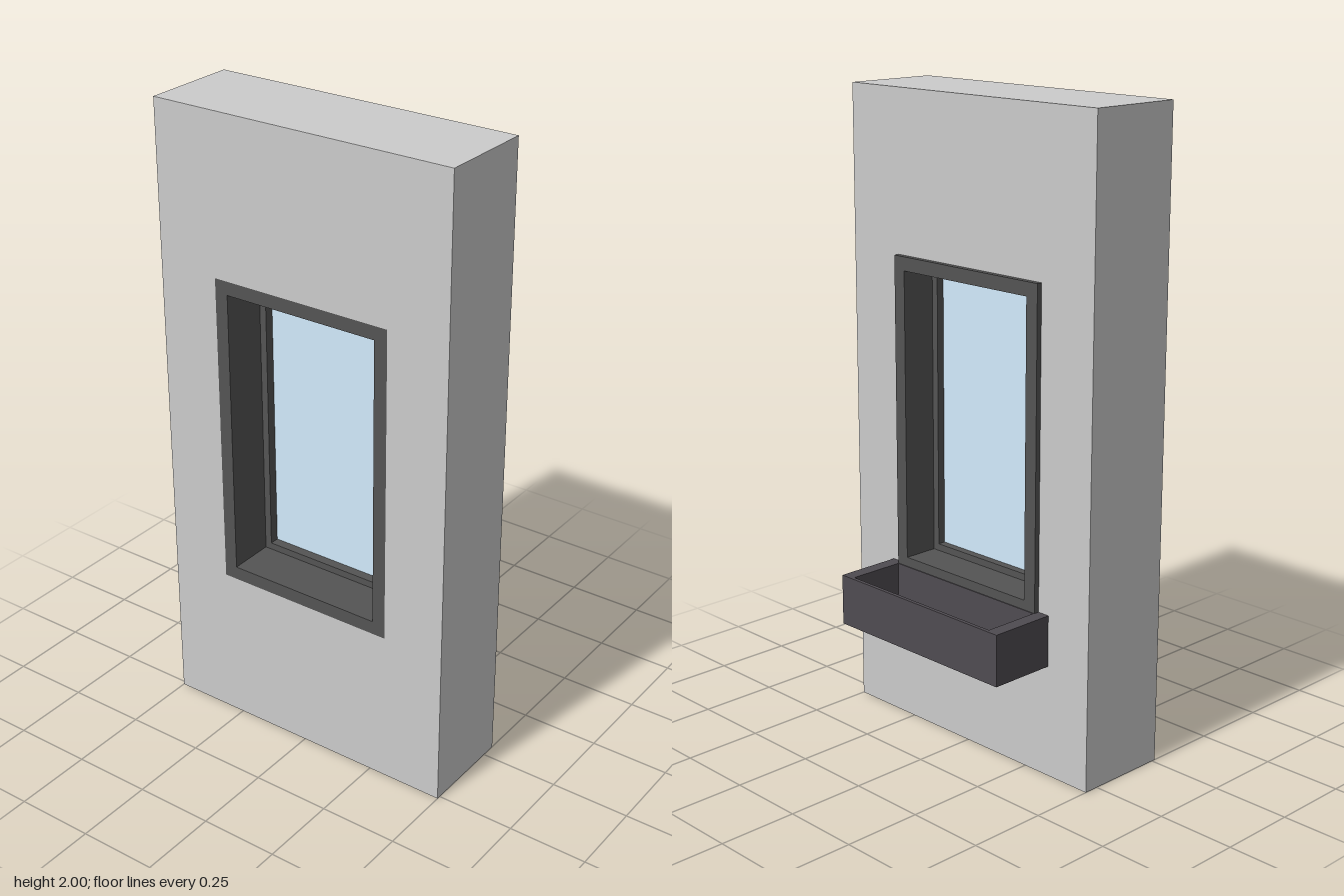
import * as THREE from 'three';

const material = (color) => new THREE.MeshStandardMaterial({ color });
const wallMat = material(0xcccccc);
const frameMat = material(0x545454);
const glassMat = material(0xd2ebfc);
const planterMat = material(0x4f4b51);

// Trace a closed rectangle on a shape or path
function rect(path, x0, x1, y0, y1) {
  path.moveTo(x0, y0);
  path.lineTo(x1, y0);
  path.lineTo(x1, y1);
  path.lineTo(x0, y1);
  path.closePath();
  return path;
}

// Rectangular ring in XY, extruded from z0 to z1; outer and inner are [x0, x1, y0, y1]
function ring(name, outer, inner, z0, z1, mat) {
  const shape = rect(new THREE.Shape(), ...outer);
  shape.holes.push(rect(new THREE.Path(), ...inner));
  const geo = new THREE.ExtrudeGeometry(shape, { depth: z1 - z0, bevelEnabled: false });
  geo.translate(0, 0, z0);
  const mesh = new THREE.Mesh(geo, mat);
  mesh.name = name;
  return mesh;
}

function box(name, [x0, x1, y0, y1], z0, z1, mat) {
  const mesh = new THREE.Mesh(new THREE.BoxGeometry(x1 - x0, y1 - y0, z1 - z0), mat);
  mesh.position.set((x0 + x1) / 2, (y0 + y1) / 2, (z0 + z1) / 2);
  mesh.name = name;
  return mesh;
}

export function createModel() {
  const model = new THREE.Group();
  model.name = 'wallWithWindow';

  const zFront = 0.262, zWall = -0.048, zBack = -0.262;
  const opening = [-0.3, 0.3, 0.5, 1.5];
  const lining = [-0.257, 0.257, 0.543, 1.457];
  const pane = [-0.235, 0.235, 0.565, 1.435];

  // Wall with the window opening
  model.add(ring('wall', [-0.5, 0.5, 0, 2], opening, zWall, zFront, wallMat));

  // Deep frame, sash and glass
  const windowGroup = new THREE.Group();
  windowGroup.name = 'window';
  windowGroup.add(
    ring('frame', opening, lining, -0.065, zFront, frameMat),
    ring('sash', lining, pane, 0.05, 0.115, frameMat),
    box('glass', pane, 0.075, 0.085, glassMat),
  );
  model.add(windowGroup);

  // Open planter box on the back of the wall
  const planter = new THREE.Group();
  planter.name = 'planter';
  const y0 = 0.352, y1 = 0.513;
  planter.add(
    box('planterFloor', [-0.34, 0.34, y0, y0 + 0.015], zBack, zWall, planterMat),
    box('planterOuterSide', [-0.34, 0.34, y0, y1], zBack, -0.25, planterMat),
    box('planterWallSide', [-0.34, 0.34, y0, y1], -0.068, zWall, planterMat),
  );
  for (const s of [-1, 1]) {
    const xs = [s * 0.297, s * 0.34].sort((a, b) => a - b);
    planter.add(box(s > 0 ? 'planterLeftEnd' : 'planterRightEnd', [...xs, y0, y1], -0.25, -0.068, planterMat));
  }
  model.add(planter);

  return model;
}
